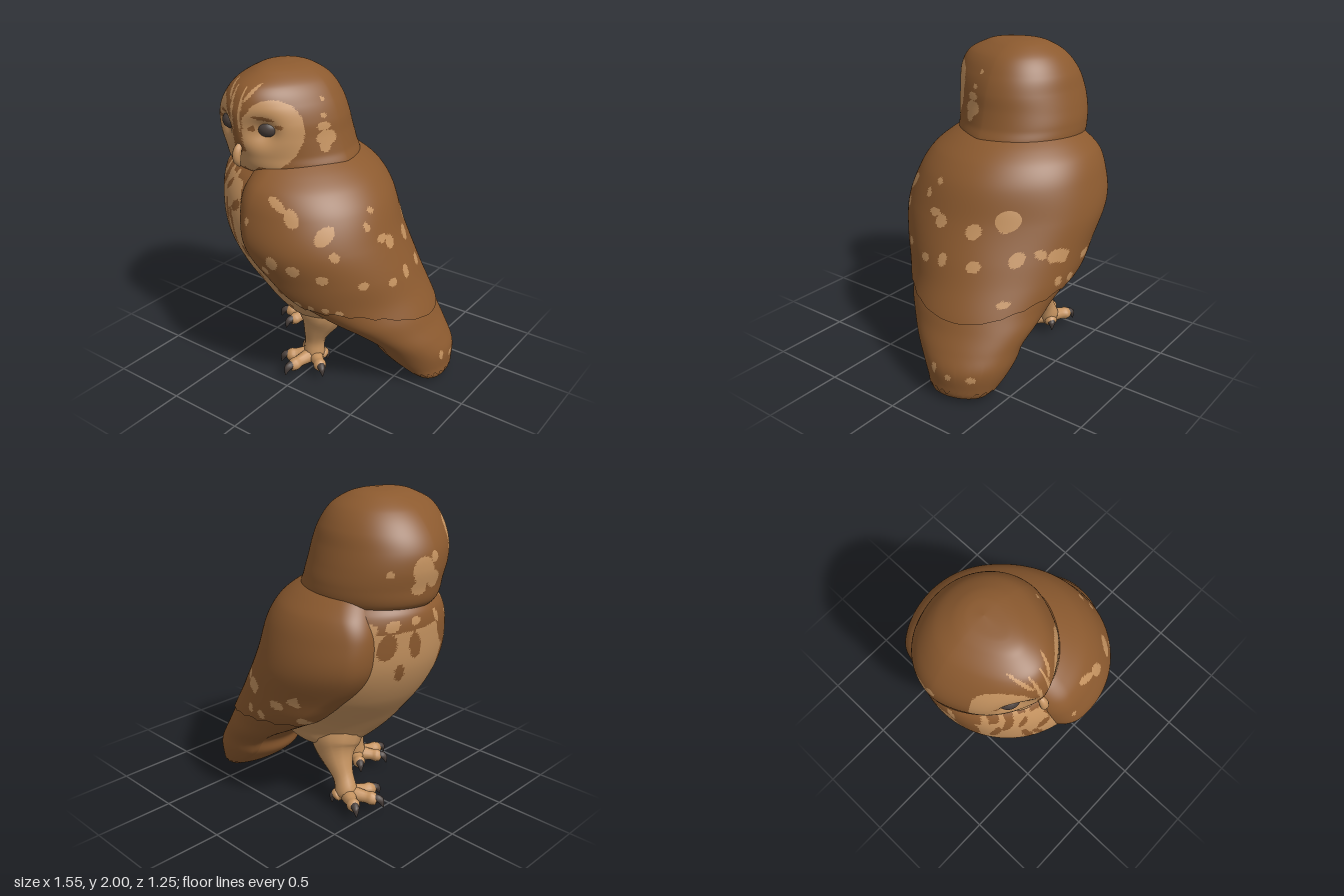
import * as THREE from 'three';
import { mergeVertices } from 'three/addons/utils/BufferGeometryUtils.js';

const mat = (name, color, side = THREE.FrontSide) => {
  const m = new THREE.MeshStandardMaterial({ color, side });
  m.name = name;
  return m;
};
const brown = mat('brown plumage', 0x8c5a2f, THREE.DoubleSide);
const tan = mat('tan plumage', 0xc4925f, THREE.DoubleSide);
const dark = mat('dark horn', 0x4a403c);
const BROWN = 0, TAN = 1;
const rad = Math.PI / 180;

// Smooth interpolation through rows of [y, values...]
function at(rows, y) {
  const n = rows.length;
  y = Math.min(Math.max(y, rows[0][0]), rows[n - 1][0]);
  let i = 0;
  while (i < n - 2 && y > rows[i + 1][0]) i++;
  const a = rows[i], b = rows[i + 1], h = b[0] - a[0], t = (y - a[0]) / h;
  const slope = (j, k) => {
    const p = rows[Math.max(j - 1, 0)], q = rows[Math.min(j + 1, n - 1)];
    return (q[k] - p[k]) / (q[0] - p[0]);
  };
  return a.map((_, k) => a[k] + t * t * (3 - 2 * t) * (b[k] - a[k])
    + h * t * (1 - t) * ((1 - t) * slope(i, k) - t * slope(i + 1, k)));
}

// Grid surface f(u, v); pick(centre) chooses brown or tan for each face
function surface(name, f, nu, nv, pick) {
  const pos = [], buckets = [[], []];
  for (let j = 0; j <= nv; j++)
    for (let i = 0; i <= nu; i++) pos.push(...f(i / nu, j / nv));
  const idx = [], w = nu + 1;
  for (let j = 0; j < nv; j++)
    for (let i = 0; i < nu; i++) {
      const a = j * w + i;
      idx.push(a, a + 1, a + w + 1, a, a + w + 1, a + w);
    }
  let g = new THREE.BufferGeometry();
  g.setAttribute('position', new THREE.Float32BufferAttribute(pos, 3));
  g.setIndex(idx);
  g = mergeVertices(g, 1e-5);
  g.computeVertexNormals();
  const p = g.attributes.position, ix = g.index.array;
  for (let t = 0; t < ix.length; t += 3) {
    const q = [ix[t], ix[t + 1], ix[t + 2]];
    const c = [0, 1, 2].map(k => q.reduce((s, v) => s + p.getComponent(v, k), 0) / 3);
    buckets[pick(c)].push(...q);
  }
  g.setIndex([...buckets[0], ...buckets[1]]);
  g.addGroup(0, buckets[0].length, 0);
  g.addGroup(buckets[0].length, buckets[1].length, 1);
  const m = new THREE.Mesh(g, [brown, tan]);
  m.name = name;
  return m;
}

// Elliptical markings [side, across, y, radius, height, tilt, colour]; later ones win
const side = {
  F: p => p[2] > -0.1 && p[0], B: p => p[2] < -0.05 && p[0],
  R: p => p[0] > -0.28 && p[2], L: p => p[0] < -0.3 && p[2],
};
const painter = (base, marks) => p => {
  let c = base;
  for (const [s, a, b, ra, rb, tilt = 0, col = 1 - base] of marks) {
    const u = side[s](p);
    if (u === false) continue;
    const x = u - a, y = p[1] - b, cs = Math.cos(tilt * rad), sn = Math.sin(tilt * rad);
    if (((x * cs + y * sn) / ra) ** 2 + ((y * cs - x * sn) / rb) ** 2 < 1) c = col;
  }
  return c;
};

// Tapered tube through points with a radius at each point
function taper(name, pts, radii, material, n = 12) {
  const curve = new THREE.CatmullRomCurve3(pts.map(p => new THREE.Vector3(...p)));
  const fr = curve.computeFrenetFrames(n), pos = [], idx = [], m = 12;
  const rows = radii.map((r, i) => [i / (radii.length - 1), r]);
  for (let j = -1; j <= n + 1; j++) {
    const k = Math.min(Math.max(j, 0), n), c = curve.getPoint(k / n);
    const r = j === k ? Math.max(at(rows, k / n)[1], 0.002) : 0;
    for (let i = 0; i < m; i++) {
      const a = i / m * Math.PI * 2;
      const v = c.clone().addScaledVector(fr.normals[k], r * Math.cos(a))
        .addScaledVector(fr.binormals[k], r * Math.sin(a));
      pos.push(v.x, v.y, v.z);
      if (j <= n) {
        const q = (j + 1) * m, i2 = (i + 1) % m;
        idx.push(q + i, q + i2, q + m + i2, q + i, q + m + i2, q + m + i);
      }
    }
  }
  const g = new THREE.BufferGeometry();
  g.setAttribute('position', new THREE.Float32BufferAttribute(pos, 3));
  g.setIndex(idx);
  g.computeVertexNormals();
  const mesh = new THREE.Mesh(g, material);
  mesh.name = name;
  return mesh;
}

// Body sections [y, centre x, centre z, half width, half depth], turned to one side
const coat = [[0, .66, -.23, .11, .05], [.03, .64, -.23, .19, .12], [.1, .575, -.22, .245, .2],
  [.2, .51, -.2, .3, .27], [.3, .47, -.175, .345, .27], [.4, .37, -.14, .41, .325], [.5, .24, -.09, .475, .425],
  [.65, .05, -.04, .565, .555], [.8, -.03, -.02, .6, .58], [1, -.115, 0, .63, .585], [1.2, -.17, 0, .585, .56],
  [1.32, -.22, 0, .53, .52], [1.4, -.26, 0, .45, .46], [1.48, -.3, 0, .34, .36]];
const belly = [[.33, -.08, -.02, .1, .06], [.36, -.075, -.02, .19, .14], [.41, -.04, -.02, .3, .25],
  [.5, 0, -.01, .365, .385], [.6, 0, -.01, .42, .47], [.8, -.07, -.01, .52, .55], [1, -.14, 0, .56, .57],
  [1.2, -.2, 0, .52, .54], [1.34, -.275, 0, .44, .455], [1.42, -.3, 0, .36, .37], [1.45, -.3, 0, .32, .33]];
const wingEdge = [[0, 70], [.3, 62], [.5, 66], [.65, 69], [.9, 54], [1.1, 53], [1.25, 57], [1.45, 75]];
function section(rows, y, th, k = 1) {
  const [, cx, cz, w, d] = at(rows, y), f = k * d * Math.cos(th), l = k * w * Math.sin(th);
  return [cx - .96 * f + .28 * l, y, cz + .28 * f + .96 * l];
}
// Fuller right shoulder, flatter back and rump [angle, spread, height, spread, amount]
const reliefs = [[304, 33, 1.12, .25, .075], [205, 35, .98, .42, -.075], [124, 30, .6, .16, -.045]];
const relief = (y, th) => reliefs.reduce((s, [a, da, h, dh, k]) =>
  s + k * Math.exp(-(((th / rad - a) / da) ** 2) - ((y - h) / dh) ** 2), 1);
// Wing and back shell, open at the chest, its front edges curled inward
const shell = (top, bottom, k) => (u, v) => {
  const th0 = (55 + 250 * u) * rad;
  const lo = bottom(th0), y = lo + (top - lo) * v;
  const a = at(wingEdge, y)[1] * rad, end = Math.PI * 2 - a + 5 * rad, th = a + (end - a) * u;
  const e = Math.min(1, Math.min(th - a, end - th) / (16 * rad));
  return section(coat, y, th, k * relief(y, th) * (1 - .1 * (1 - e) ** 2));
};

// Head sections [y, centre x, half width, back depth, front depth]
const skull = [[1.34, -.31, .36, .36, .32], [1.4, -.3, .435, .415, .39], [1.5, -.325, .43, .42, .42],
  [1.6, -.345, .425, .4, .455], [1.7, -.35, .41, .37, .47], [1.8, -.345, .365, .335, .455],
  [1.9, -.335, .285, .265, .395], [1.96, -.33, .19, .18, .28], [1.99, -.33, .1, .1, .17], [2, -.33, 0, 0, 0]];
const MID = -.355, EYES = [MID - .147, MID + .147];
function headPoint(u, v) {
  const y = 1.34 + .66 * Math.sin(v * Math.PI / 2), th = u * Math.PI * 2 + Math.PI;
  const [, cx, w, db, df] = at(skull, y), c = Math.cos(th);
  const x = cx + w * Math.sin(th);
  let z = .02 + (c > 0 ? df * c ** 1.35 : db * c);
  if (c > 0) for (const ex of EYES) // eye sockets
    z -= .075 * Math.exp(-(((x - ex) / .085) ** 2) - ((y - 1.655) / .085) ** 2);
  return [x, y, z];
}
const faceMarks = [];
for (const s of [-1, 1]) faceMarks.push(
  ['F', MID + s * .185, 1.635, .155, .21, 0, TAN], ['F', MID + s * .1, 1.46, .125, .075, 0, TAN]);
faceMarks.push(['F', MID, 1.74, .045, .19, 0, BROWN]);
for (const s of [-1, 1]) faceMarks.push(
  ['F', MID + s * .06, 1.82, .04, .1, s * -25, BROWN],
  ['F', MID + s * .155, 1.737, .055, .013, s * -12, BROWN], ['F', MID + s * .23, 1.685, .025, .014, 0, BROWN],
  ['F', MID + s * .085, 1.67, .014, .02, 0, BROWN],
  ['F', MID + s * .03, 1.78, .011, .13, s * -3, TAN], ['F', MID + s * .08, 1.88, .012, .055, s * -28, TAN],
  ['F', MID + s * .1, 1.385, .13, .014, 0, BROWN], ['F', MID + s * .12, 1.42, .035, .01, s * 15, BROWN]);
for (const [s, z, y, a, b] of [['R', .13, 1.6, .065, .045], ['R', .15, 1.55, .035, .035], ['R', .14, 1.67, .045, .025],
  ['R', .13, 1.73, .02, .015], ['R', .1, 1.82, .012, .015], ['L', -.06, 1.6, .07, .08], ['L', .02, 1.54, .05, .05],
  ['L', -.08, 1.5, .05, .04], ['L', .02, 1.67, .03, .03], ['L', -.24, 1.59, .02, .02]])
  faceMarks.push([s, z, y, a, b, 0, TAN]);

// Pale spots on wings and tail
const wingSpots = [['F', -.02, 1.28, .07, .022, -30], ['F', .08, 1.215, .06, .033, -50], ['F', .26, 1.12, .04, .055],
  ['F', -.2, 1.15, .015, .025], ['F', 0, .94, .04, .045], ['F', .13, .91, .04, .035], ['F', -.06, .87, .02, .03, 40],
  ['F', .28, .86, .03, .03], ['F', .12, .66, .025, .02], ['F', .2, .645, .02, .02], ['F', .28, .64, .02, .018],
  ['F', .35, .625, .02, .018]];
for (const [z, y, a, b] of [[.2, 1.13, .02, .03], [.13, 1.21, .025, .02], [.11, 1.04, .045, .025], [.05, 1, .04, .04],
  [.43, 1, .025, .03], [-.17, .97, .045, .045], [-.33, 1, .035, .03], [.31, .8, .03, .025], [.12, .77, .035, .025],
  [-.02, .79, .03, .04], [-.22, .78, .04, .035], [-.42, .82, .035, .045], [-.57, .82, .03, .04], [-.42, .58, .03, .02],
  [-.13, .2, .02, .03], [-.24, .17, .02, .02], [-.37, .17, .025, .02]]) wingSpots.push(['R', z, y, a, b]);
for (const [x, y, a] of [[-.26, .67, .03], [-.12, .76, .05], [.03, .65, .03], [.1, .8, .035], [.22, .84, .03],
  [.14, .66, .025]]) wingSpots.push(['B', x, y, a, .03]);

// Brown bib and streaks on the chest
const chest = [['F', -.25, 1.38, .22, .06], ['F', -.28, 1.22, .045, .16, 15], ['F', -.66, 1.38, .14, .06],
  ['L', -.25, 1.42, .7, .17], ['F', -.7, 1.24, .03, .14, 5]];
for (const [x, y, h, tilt, w = .017] of [[-.61, 1.21, .08, -15], [-.54, 1.3, .08, -30, .022], [-.47, 1.28, .05, -40],
  [-.47, 1.1, .1, 12, .022], [-.44, .95, .08, 5, .02], [-.37, 1.18, .05, -50, .03], [-.41, 1.08, .08, 20],
  [-.67, 1.05, .08, 8], [-.56, .92, .05, 20], [-.38, .97, .06, 15], [-.4, .85, .05, 10], [-.33, .8, .05, 15],
  [-.29, .9, .05, 25], [-.35, .71, .05, 10], [-.21, .6, .035, 25], [-.22, .72, .035, 15], [-.1, .63, .02, 20],
  [-.06, .51, .02, 0]]) chest.push(['F', x, y, w, h, tilt]);
for (const [z, y, a, b, tilt] of [[-.08, 1.16, .04, .08, 10], [-.25, 1.17, .05, .08, -15], [-.36, 1.12, .03, .07, 0],
  [-.16, 1.0, .03, .06, 15]]) chest.push(['L', z, y, a, b, tilt]);
for (const [z, y, a, b] of [[.1, 1.3, .02, .05], [-.08, 1.31, .03, .025], [-.22, 1.29, .045, .03], [-.34, 1.27, .05, .04]])
  chest.push(['L', z, y, a, b, 30, TAN]);
for (const [x, h] of [[-.63, .05], [-.56, .06], [-.49, .05], [-.42, .04]]) chest.push(['F', x, 1.34, .014, h, -20, TAN]);

// Leg with a feathered thigh, three long toes, side toe, hind toe and curved claws
function leg(name, path, tips) {
  const g = new THREE.Group();
  g.name = name;
  g.add(taper('shank', path, [.17, .155, .098, .067, .07, .035], tan, 24));
  const [fx, , fz] = path[4];
  for (const [dx, dz] of tips) {
    const p = (t, y) => [fx + dx * t, y, fz + dz * t];
    g.add(taper('toe', [p(0, .095), p(.3, .095), p(.55, .09), p(.7, .085), p(.84, .075)],
      [.05, .045, .038, .043, .03], tan));
    g.add(taper('claw', [p(.74, .09), p(.92, .085), p(1.02, .035)], [.028, .024, .003], dark, 8));
  }
  return g;
}

export function createModel() {
  const owl = new THREE.Group();
  owl.name = 'owl';
  const saw = th => .026 * Math.abs(Math.sin(th * 11));

  // Body and plumage layers
  owl.add(surface('belly', (u, v) => section(belly, .33 + 1.12 * v, u * Math.PI * 2, v ? 1 : 0), 190, 105,
    painter(TAN, chest)));
  owl.add(surface('coverts', shell(1.48, th => {
    const dip = (.5 - .5 * Math.cos(th)) ** 3;
    return .61 - .14 * dip + saw(th) * (1 - dip);
  }, 1), 200, 80, painter(BROWN, wingSpots)));
  owl.add(surface('flightFeathers', shell(.75, th => .04 + 1.3 * saw(th), .97), 100, 50, painter(BROWN, wingSpots)));
  owl.add(surface('tail', (u, v) => section(coat, .56 * v, u * Math.PI * 2, v && v < 1 ? .94 - .27 * v * v : 0),
    72, 40, painter(BROWN, [['F', .48, .17, .04, .03], ['F', .4, .33, .04, .02]])));

  // Head
  owl.add(surface('head', headPoint, 170, 100, painter(BROWN, faceMarks)));
  for (const x of EYES) {
    const eye = new THREE.Mesh(new THREE.SphereGeometry(.063, 24, 16), dark);
    eye.name = 'eye';
    eye.scale.set(1, .82, .8);
    eye.position.set(x, 1.665, .36);
    eye.rotation.y = Math.sign(x - MID) * .4;
    owl.add(eye);
  }
  for (const s of [-1, 1]) {
    const tuft = new THREE.Mesh(new THREE.SphereGeometry(1, 20, 12), tan);
    tuft.name = 'beakBristles';
    tuft.scale.set(.085, .06, .06);
    tuft.position.set(MID + s * .065, 1.465, .362);
    tuft.rotation.set(0, s * .6, s * -.3);
    owl.add(tuft);
  }
  owl.add(taper('beak', [[MID, 1.57, .44], [MID, 1.53, .475], [MID, 1.47, .483], [MID, 1.425, .46]],
    [.014, .026, .024, .004], tan));

  // Legs
  owl.add(leg('leftLeg',
    [[.03, .5, .14], [.03, .39, .16], [.01, .29, .19], [0, .2, .2], [0, .1, .21], [0, .06, .21]],
    [[.15, .11], [-.05, .24], [-.17, .13], [-.14, -.09], [.06, -.07]]));
  owl.add(leg('rightLeg',
    [[-.17, .5, -.13], [-.18, .39, -.17], [-.235, .29, -.2], [-.29, .2, -.21], [-.33, .1, -.22], [-.34, .06, -.22]],
    [[.15, .1], [-.08, .22], [-.21, .11], [-.17, -.09], [.06, -.07]]));
  return owl;
}
